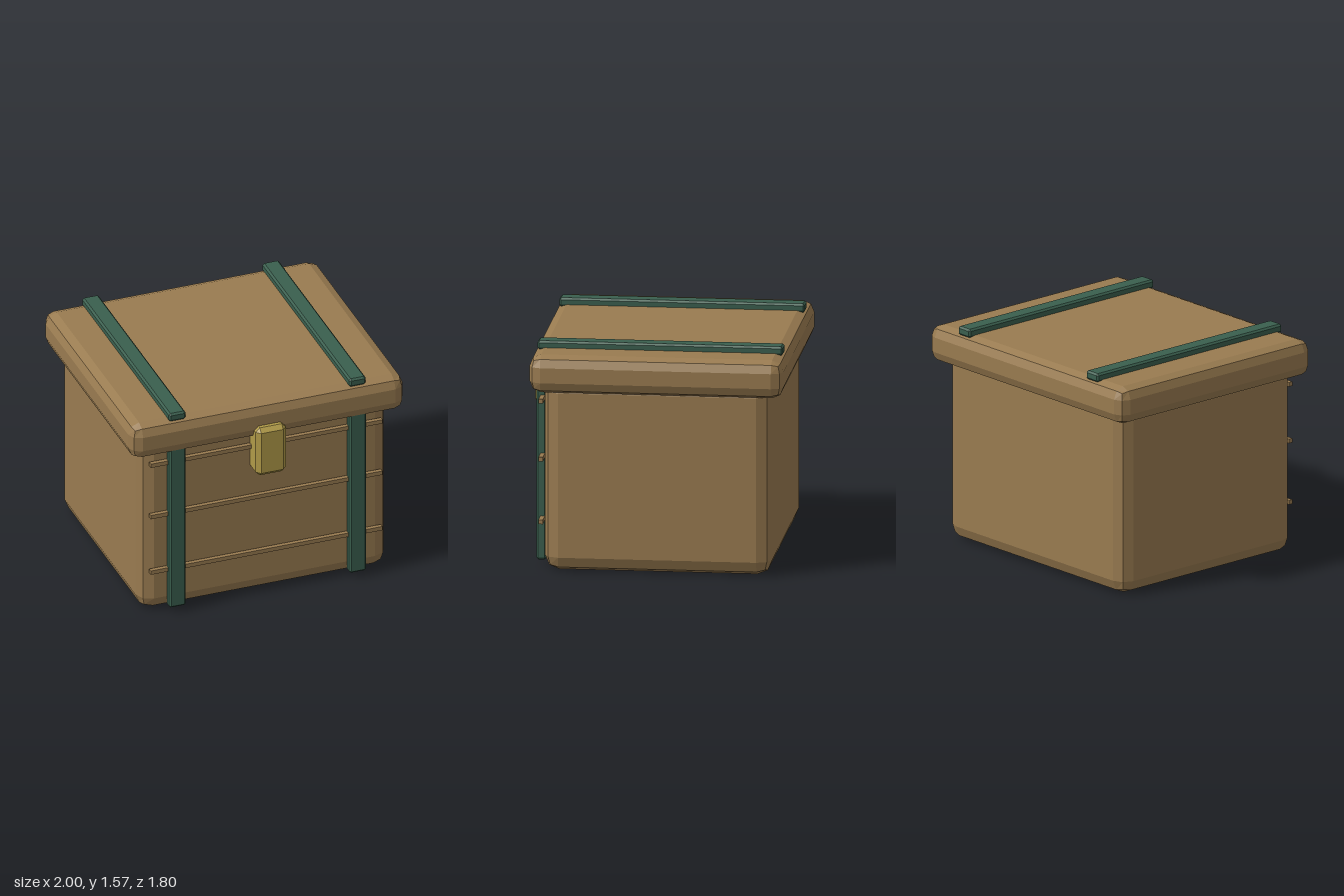
import * as THREE from 'three';
import { RoundedBoxGeometry } from 'three/addons/geometries/RoundedBoxGeometry.js';
import { ConvexGeometry } from 'three/addons/geometries/ConvexGeometry.js';

const material = (name, color) => {
  const m = new THREE.MeshStandardMaterial({ color, flatShading: true });
  m.name = name;
  return m;
};

// Box with one flat chamfer of width c along every edge
function chamferBox(w, h, d, c) {
  const points = [];
  for (const sx of [-1, 1]) for (const sy of [-1, 1]) for (const sz of [-1, 1]) {
    const x = w / 2, y = h / 2, z = d / 2;
    points.push(
      new THREE.Vector3(sx * x, sy * (y - c), sz * (z - c)),
      new THREE.Vector3(sx * (x - c), sy * y, sz * (z - c)),
      new THREE.Vector3(sx * (x - c), sy * (y - c), sz * z)
    );
  }
  return new ConvexGeometry(points);
}

export function createModel() {
  const wood = material('brown wood', 0x997b50);
  const strap = material('green strap', 0x3a5f4e);
  const brass = material('brass', 0xb09a48);

  const model = new THREE.Group();
  model.name = 'chest';
  const add = (name, geometry, mat, x, y, z) => {
    const mesh = new THREE.Mesh(geometry, mat);
    mesh.name = name;
    mesh.position.set(x, y, z);
    model.add(mesh);
  };

  // Box and overhanging lid, with two-step bevels
  add('body', new RoundedBoxGeometry(1.81, 1.35, 1.56, 1, 0.1), wood, 0, 0.675, -0.025);
  add('lid', new RoundedBoxGeometry(2, 0.265, 1.744, 1, 0.08), wood, 0, 1.392, -0.025);

  // Thin slats across the front
  for (const y of [0.333, 0.772, 1.178]) {
    add('frontSlat', new THREE.BoxGeometry(1.69, 0.03, 0.031), wood, 0, y, 0.78);
  }

  // Straps down the front and over the lid
  for (const [side, x] of [['left', 0.657], ['right', -0.657]]) {
    add(side + 'FrontStrap', chamferBox(0.122, 1.3, 0.068, 0.013), strap, x, 0.69, 0.79);
    add(side + 'LidStrap', chamferBox(0.122, 0.062, 1.685, 0.013), strap, x, 1.54, -0.025);
  }

  // Clasp
  add('clasp', chamferBox(0.22, 0.375, 0.17, 0.03), brass, 0, 1.177, 0.819);

  return model;
}
